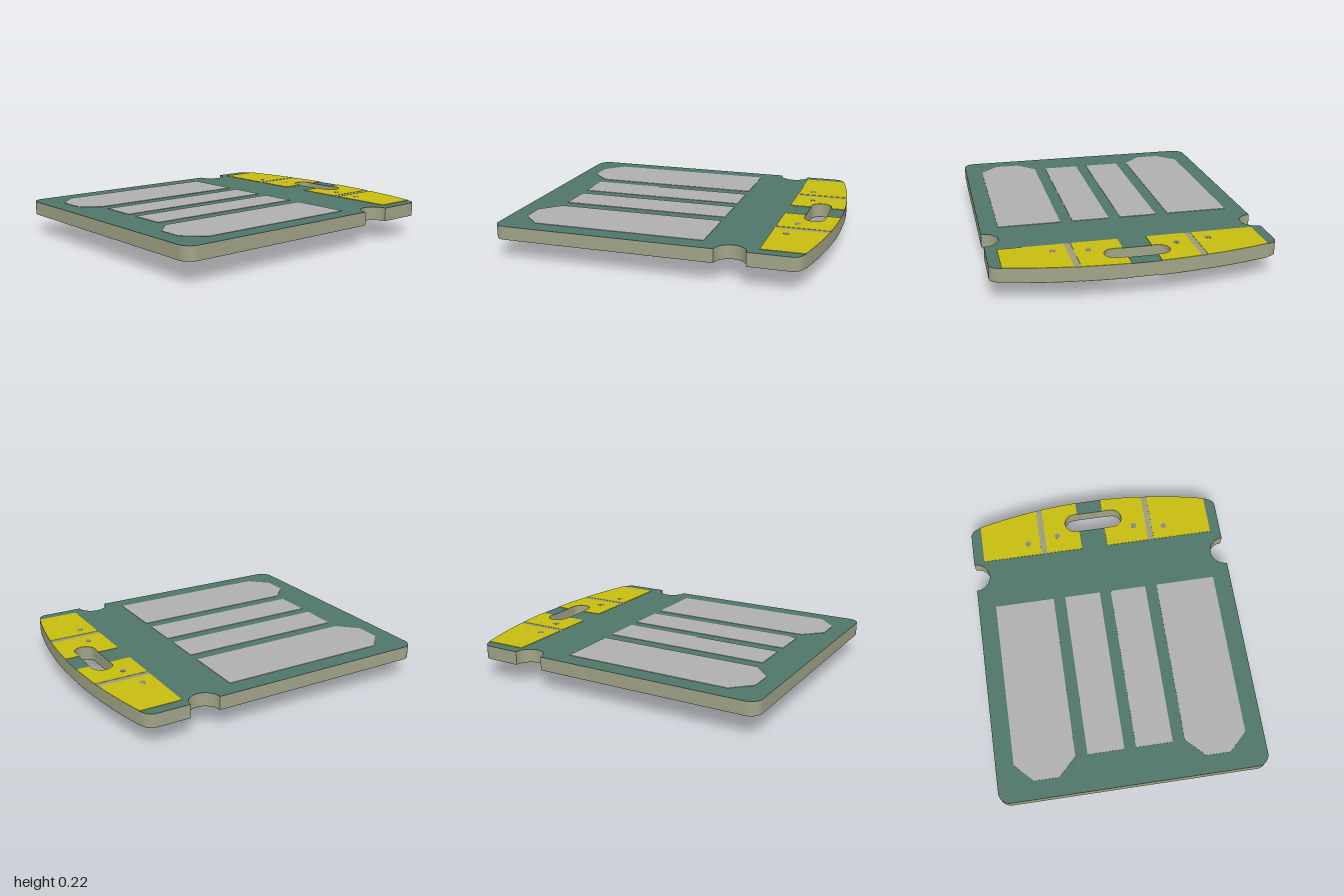
import * as THREE from 'three';

const mat = (color) => new THREE.MeshStandardMaterial({ color });
const M = {
  core: mat(0xa2a488), mask: mat(0x50786a), gold: mat(0xc8be10), silver: mat(0xb0b0b0),
  bare: mat(0x9c9c80), testPad: mat(0x8a8a8a), chip: mat(0x2c2c2c), terminal: mat(0xcfcfc4),
  capacitor: mat(0x6b4a3c), resistor: mat(0x222222), lens: mat(0xdfe8e0),
};

// Curved contact edge of the board at depth z
const edgeX = (z) => 1 - 0.095 * (z / 0.78) ** 2;

// Plan-view shapes use (x, -z); a slab spans y0 to y1
function slab(name, shape, y0, y1, material) {
  const g = new THREE.ExtrudeGeometry(shape, { depth: y1 - y0, bevelEnabled: false, curveSegments: 16 });
  g.rotateX(-Math.PI / 2).translate(0, y0, 0);
  const m = new THREE.Mesh(g, material);
  m.name = name;
  return m;
}

function box(name, w, h, d, x, y, z, material) {
  const m = new THREE.Mesh(new THREE.BoxGeometry(w, h, d), material);
  m.position.set(x, y, z);
  m.name = name;
  return m;
}

function disc(name, r, h, x, y, z, material) {
  const m = new THREE.Mesh(new THREE.CylinderGeometry(r, r, h, 32), material);
  m.position.set(x, y, z);
  m.name = name;
  return m;
}

const polygon = (pts) => new THREE.Shape(pts.map(([x, s]) => new THREE.Vector2(x, s)));

// Rounded board with two edge notches, a bowed end and a slot
function boardShape() {
  const s = new THREE.Shape();
  const c = 0.075;
  s.moveTo(-1 + c, -0.847);
  s.lineTo(0.395, -0.847);
  s.absarc(0.49, -0.847, 0.095, Math.PI, 0, true);
  s.lineTo(0.84, -0.847);
  s.quadraticCurveTo(0.885, -0.847, edgeX(0.78), -0.78);
  for (let i = 1; i <= 32; i++) {
    const z = -0.78 + (1.56 * i) / 32;
    s.lineTo(edgeX(z), z);
  }
  s.quadraticCurveTo(0.885, 0.847, 0.84, 0.847);
  s.lineTo(0.63, 0.847);
  s.absarc(0.535, 0.847, 0.095, 0, Math.PI, true);
  s.lineTo(-1 + c, 0.847);
  s.absarc(-1 + c, 0.847 - c, c, Math.PI / 2, Math.PI, false);
  s.lineTo(-1, -0.847 + c);
  s.absarc(-1 + c, -0.847 + c, c, Math.PI, Math.PI * 1.5, false);
  const slot = new THREE.Path();
  slot.absarc(0.845, 0.135, 0.065, 0, Math.PI, false);
  slot.absarc(0.845, -0.125, 0.065, Math.PI, Math.PI * 2, false);
  slot.closePath();
  s.holes.push(slot);
  return s;
}

// End contact from s0 outward to s1, optionally cut around the slot end
function endPad(sign, s0, s1, slotCentre) {
  const p = [[0.645, sign * s0]];
  if (slotCentre) {
    p.push([0.78, sign * s0]);
    for (let i = 0; i <= 16; i++) {
      const t = (Math.PI * i) / 16;
      p.push([0.845 - 0.065 * Math.cos(t), sign * (slotCentre + 0.065 * Math.sin(t))]);
    }
    p.push([0.91, sign * s0]);
  }
  for (let i = 0; i <= 10; i++) {
    const s = s0 + ((s1 - s0) * i) / 10;
    p.push([edgeX(s), sign * s]);
  }
  p.push([0.645, sign * s1]);
  return polygon(p);
}

// Two-terminal surface part, long axis along x
function smallPart(name, x, z, height, bodyMaterial, turned = false) {
  const g = new THREE.Group();
  g.name = name;
  g.add(box('body', 0.08, height - 0.008, 0.08, 0, -height / 2, 0, bodyMaterial));
  for (const s of [-1, 1]) g.add(box('terminal', 0.04, height, 0.088, s * 0.058, -height / 2, 0, M.terminal));
  g.position.set(x, 0.125, z);
  if (turned) g.rotation.y = Math.PI / 2;
  return g;
}

function indicatorLight(x, z) {
  const g = new THREE.Group();
  g.name = 'indicatorLight';
  g.add(box('base', 0.08, 0.016, 0.1, 0, -0.018, 0, M.terminal));
  for (const s of [-1, 1]) g.add(box('terminal', 0.08, 0.03, 0.028, 0, -0.025, s * 0.063, M.gold));
  // Tapered lens pointing down
  const lens = new THREE.CylinderGeometry(0.055, 0.043, 0.034, 4, 1);
  lens.rotateY(Math.PI / 4).scale(0.95, 1, 1.3);
  const m = new THREE.Mesh(lens.toNonIndexed(), M.lens);
  m.geometry.computeVertexNormals();
  m.name = 'lens';
  m.position.y = -0.043;
  g.add(m);
  g.position.set(x, 0.127, z);
  return g;
}

export function createModel() {
  const root = new THREE.Group();
  root.name = 'circuitBoard';

  // Board core with a solder mask on both faces
  const outline = boardShape();
  root.add(slab('boardCore', outline, 0.13, 0.211, M.core));
  root.add(slab('topMask', outline, 0.211, 0.213, M.mask));
  root.add(slab('bottomMask', outline, 0.128, 0.13, M.mask));

  // Four long connector contacts
  for (const sign of [-1, 1]) {
    root.add(slab('innerContact', polygon([
      [-0.77, sign * 0.037], [0.305, sign * 0.037], [0.305, sign * 0.27], [-0.77, sign * 0.27],
    ]), 0.213, 0.216, M.silver));
    root.add(slab('outerContact', polygon([
      [-0.77, sign * 0.347], [0.305, sign * 0.347], [0.305, sign * 0.733], [-0.77, sign * 0.733],
      [-0.885, sign * 0.618], [-0.885, sign * 0.462],
    ]), 0.213, 0.216, M.silver));
  }

  // End contacts, bare strips and vias on both faces
  for (const [y0, y1, strip0, strip1, viaY] of [
    [0.213, 0.216, 0.213, 0.214, 0.2155], [0.125, 0.128, 0.127, 0.128, 0.1255],
  ]) {
    for (const sign of [-1, 1]) {
      const near = sign > 0 ? 0.11 : 0.065;
      const centre = sign > 0 ? 0.135 : 0.125;
      root.add(slab('innerEndPad', endPad(sign, near, 0.348, centre), y0, y1, M.gold));
      root.add(slab('outerEndPad', endPad(sign, 0.387, 0.778), y0, y1, M.gold));
      root.add(slab('bareStrip', endPad(sign, 0.348, 0.387), strip0, strip1, M.bare));
      root.add(disc('via', 0.019, 0.003, 0.765, viaY, sign * 0.265, M.testPad));
      root.add(disc('via', 0.019, 0.003, 0.735, viaY, sign * 0.468, M.testPad));
    }
  }

  // Test pads under the long edges
  for (const z of [-0.67, 0.67]) {
    for (const x of [0.39, -0.01, -0.41]) root.add(disc('roundTestPad', 0.095, 0.003, x, 0.127, z, M.testPad));
    root.add(box('squareTestPad', 0.19, 0.003, 0.19, -0.82, 0.127, z, M.testPad));
  }

  // Processor with six leads per side and a corner mark
  const chip = new THREE.Group();
  chip.name = 'processor';
  chip.add(box('chipBody', 0.764, 0.12, 0.764, 0, 0.062, 0, M.chip));
  for (let side = 0; side < 4; side++) {
    const leads = new THREE.Group();
    leads.name = 'leadRow';
    for (let i = 0; i < 6; i++) leads.add(box('lead', 0.042, 0.034, 0.03, -0.25 + i * 0.1, 0.109, 0.37, M.terminal));
    leads.rotation.y = (side * Math.PI) / 2;
    chip.add(leads);
  }
  chip.add(disc('cornerMark', 0.03, 0.002, 0.28, 0.001, -0.28, M.testPad));
  chip.position.set(0.01, 0, 0);
  root.add(chip);

  // Row of capacitors and resistors beside the processor
  [0.37, 0.185, 0].forEach((z) => root.add(smallPart('capacitor', -0.64, z, 0.08, M.capacitor)));
  [-0.185, -0.37].forEach((z) => root.add(smallPart('resistor', -0.615, z, 0.062, M.resistor)));

  // Lights and their resistors near the contact end
  for (const z of [0.235, -0.29]) root.add(smallPart('lightResistor', 0.58, z, 0.062, M.resistor, true));
  for (const z of [0.525, -0.545]) root.add(indicatorLight(0.58, z));

  return root;
}
